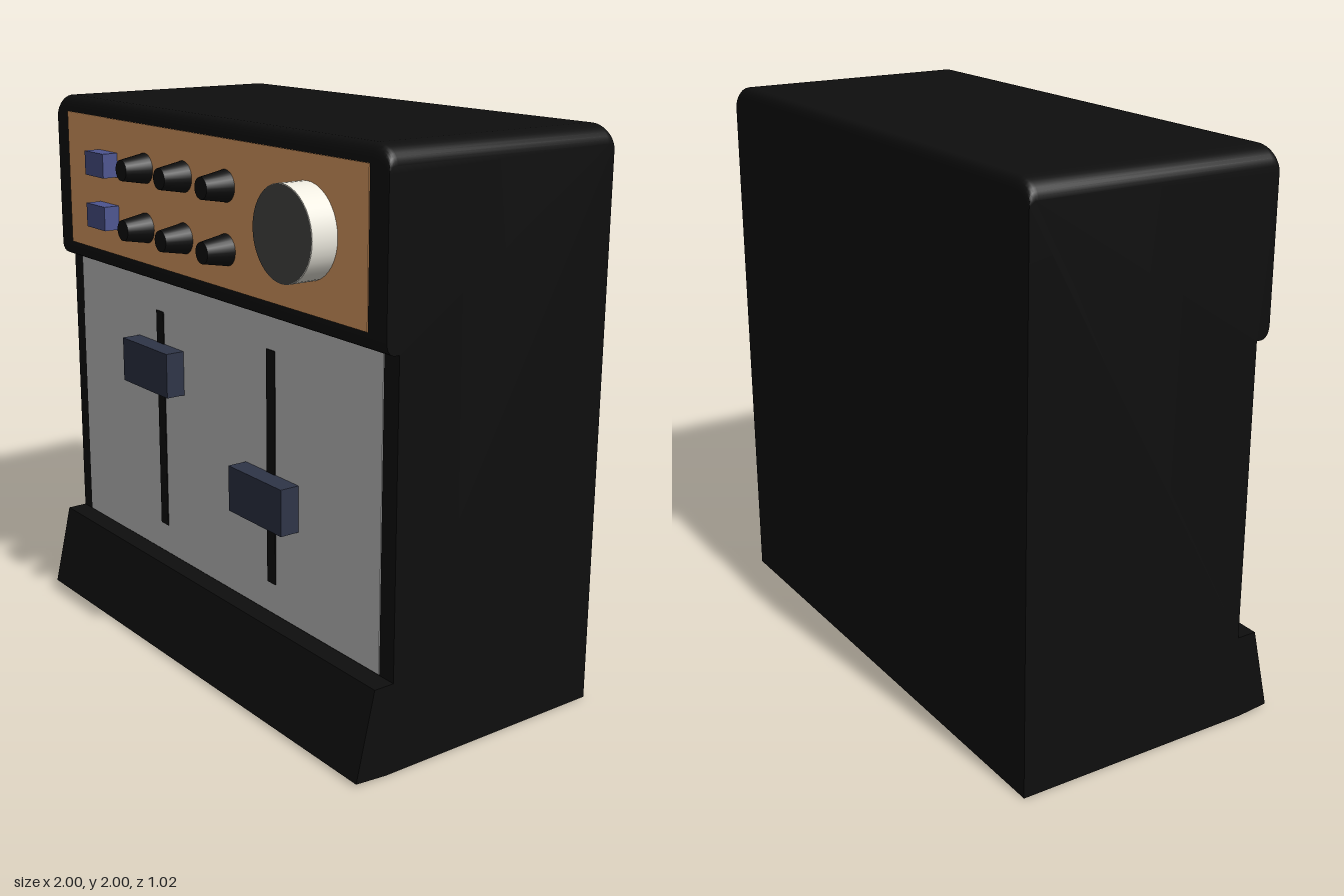
import * as THREE from 'three';
import { toCreasedNormals } from 'three/addons/utils/BufferGeometryUtils.js';

const mat = (color) => new THREE.MeshStandardMaterial({ color, roughness: 0.8 });

export function createModel() {
  const model = new THREE.Group();
  const black = mat(0x0e0e0e), orange = mat(0xe8a468), grey = mat(0xcccccc);
  const blue = mat(0x4d5590), navy = mat(0x2f3548), cream = mat(0xeeebe0), dark = mat(0x4a4a48);

  const add = (name, geometry, material, x = 0, y = 0, z = 0) => {
    const mesh = new THREE.Mesh(geometry, material);
    mesh.name = name;
    mesh.position.set(x, y, z);
    model.add(mesh);
    return mesh;
  };
  // Box given by its limits
  const block = (name, material, x0, x1, y0, y1, z0, z1) =>
    add(name, new THREE.BoxGeometry(x1 - x0, y1 - y0, z1 - z0), material,
      (x0 + x1) / 2, (y0 + y1) / 2, (z0 + z1) / 2);

  // Cabinet: side profile (z, y) with sloped foot and overhanging head, swept across x
  const side = new THREE.Shape();
  side.moveTo(-0.51, 0);
  side.lineTo(0.39, 0);
  side.lineTo(0.51, 0.01);
  side.lineTo(0.44, 0.315);
  side.lineTo(0.365, 0.315);
  side.lineTo(0.365, 1.38);
  side.lineTo(0.385, 1.38);
  side.quadraticCurveTo(0.415, 1.385, 0.415, 1.43);
  side.lineTo(0.415, 1.945);
  side.quadraticCurveTo(0.415, 2, 0.385, 2);
  side.lineTo(-0.48, 2);
  side.quadraticCurveTo(-0.51, 2, -0.51, 1.945);
  side.closePath();

  // Sections lie close together at both ends, where the top edge rounds down
  const r = 0.08, drop = 0.06, n = 8, xs = [], drops = [];
  for (let i = 0; i <= n; i++) {
    const a = (i / n) * Math.PI / 2;
    xs.push(-1 + r * (1 - Math.cos(a)));
    drops.push(drop * (1 - Math.sin(a)));
  }
  for (let i = n; i >= 0; i--) {
    xs.push(-xs[i]);
    drops.push(drops[i]);
  }
  const steps = xs.length - 1;
  const body = new THREE.ExtrudeGeometry(side, { depth: 1, steps, bevelEnabled: false, curveSegments: 6 });
  const p = body.attributes.position;
  for (let i = 0; i < p.count; i++) {
    const k = Math.round(p.getZ(i) * steps), y = p.getY(i);
    const lift = Math.max(0, (y - 1.9) / 0.1);
    // Swapping the axes mirrors the sweep, so x is negated
    p.setXYZ(i, -xs[k], y - drops[k] * lift, p.getX(i));
  }
  add('cabinet', toCreasedNormals(body, 0.6), black);

  // Face panels
  block('controlPanel', orange, -0.915, 0.912, 1.44, 1.94, 0.40, 0.418);
  block('faderPanel', grey, -0.935, 0.93, 0.318, 1.378, 0.35, 0.368);

  // Faders
  for (const [x, y] of [[-0.353, 1.057], [0.347, 0.747]]) {
    block('faderSlot', black, x - 0.024, x + 0.024, 0.43, 1.26, 0.36, 0.371);
    block('faderCap', navy, x - 0.154, x + 0.154, y - 0.082, y + 0.082, 0.36, 0.44);
  }

  // Two rows of push buttons and tapered knobs
  const knob = new THREE.CylinderGeometry(0.037, 0.056, 0.105, 24).rotateX(Math.PI / 2);
  for (const y of [1.785, 1.572]) {
    const by = y === 1.785 ? 1.775 : 1.582;
    block('pushButton', blue, -0.68, -0.546, by - 0.044, by + 0.044, 0.41, 0.478);
    for (const x of [-0.351, -0.096, 0.164]) add('knob', knob, black, x, y, 0.4625);
  }

  // Large dial with a dark face
  const dial = new THREE.CylinderGeometry(0.155, 0.155, 0.105, 40).rotateX(Math.PI / 2);
  add('dial', dial, cream, 0.612, 1.70, 0.4605);
  add('dialFace', new THREE.CircleGeometry(0.153, 40), dark, 0.612, 1.70, 0.5145);

  return model;
}
